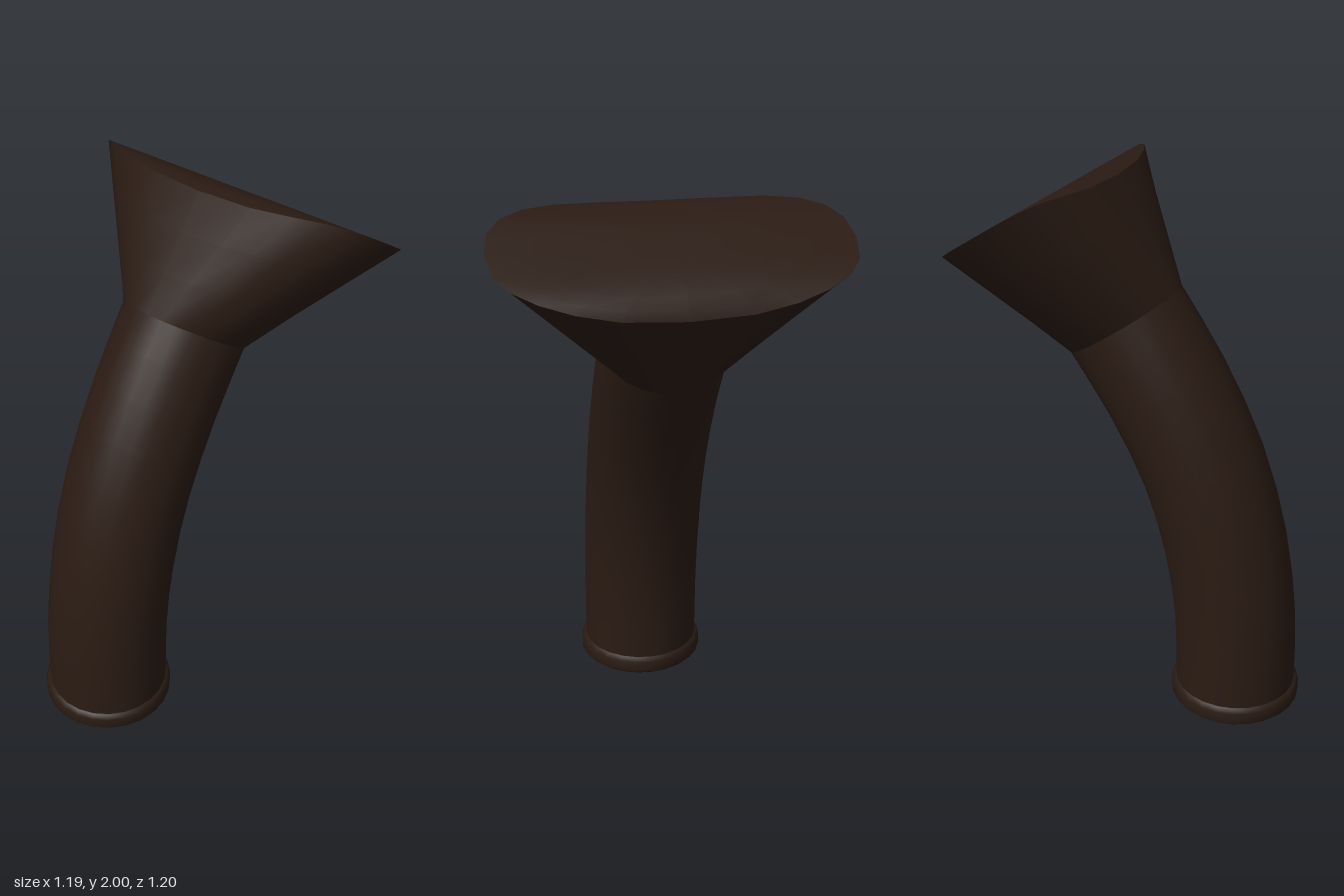
import * as THREE from 'three';

const SIDES = 24;
const Z0 = -0.03; // z of the pipe's axis

// Smooth surface through closed rings of points, listed from bottom to top
function loft(rings) {
  const pos = rings.flat().flatMap((p) => [p.x, p.y, p.z]);
  const index = [];
  for (let i = 0; i < rings.length - 1; i++) {
    for (let j = 0; j < SIDES; j++) {
      const k = (j + 1) % SIDES;
      const a = i * SIDES + j, b = i * SIDES + k;
      const c = a + SIDES, d = b + SIDES;
      index.push(a, c, b, b, c, d);
    }
  }
  const g = new THREE.BufferGeometry();
  g.setAttribute('position', new THREE.Float32BufferAttribute(pos, 3));
  g.setIndex(index);
  g.computeVertexNormals();
  return g;
}

const makeRing = (f) => Array.from({ length: SIDES }, (_, j) => f((j / SIDES) * Math.PI * 2));

// Rim of the slanted mouth: a wide rounded oval whose long edges roll down slightly
function mouthRing(scale) {
  const squash = (v) => Math.sign(v) * Math.pow(Math.abs(v), 2 / 2.6);
  return makeRing((t) => {
    const u = 0.27 * squash(Math.cos(t)) * scale;
    const n = 0.055 * (1 - Math.pow(Math.abs(u) / 0.27, 6));
    return new THREE.Vector3(
      0.36 + u * 0.854 + n * 0.52,
      1.85 - u * 0.52 + n * 0.854,
      0.6 * squash(Math.sin(t)) * scale,
    );
  });
}

export function createModel() {
  const group = new THREE.Group();
  const material = new THREE.MeshStandardMaterial({ color: 0x2a1b13, side: THREE.DoubleSide });
  const add = (name, geometry) => {
    const mesh = new THREE.Mesh(geometry, material);
    mesh.name = name;
    group.add(mesh);
    return mesh;
  };

  // Curved pipe leaning towards +x
  const path = new THREE.CatmullRomCurve3([
    [-0.35, 0.03], [-0.342, 0.34], [-0.295, 0.66], [-0.205, 0.96], [-0.06, 1.25], [0.093, 1.487],
  ].map(([x, y]) => new THREE.Vector3(x, y, Z0)));
  const pipeRings = [];
  for (let i = 0; i <= 10; i++) {
    const p = path.getPoint(i / 10), d = path.getTangent(i / 10);
    pipeRings.push(makeRing((t) => new THREE.Vector3(
      p.x + d.y * 0.23 * Math.cos(t),
      p.y - d.x * 0.23 * Math.cos(t),
      p.z + 0.23 * Math.sin(t),
    )));
  }
  add('curvedPipe', loft(pipeRings));

  // Funnel widening from the pipe's end to the mouth
  const end = pipeRings[pipeRings.length - 1], rim = mouthRing(1);
  const flareRings = [0, 0.33, 0.67, 1].map((s) => end.map((p, j) => p.clone().lerp(rim[j], s)));
  add('flare', loft(flareRings));

  // Closed face of the mouth
  add('mouthFace', loft([1, 0.9, 0.75, 0.5, 0.25, 0].map(mouthRing)));

  // Collar around the foot, closed underneath
  const profile = [[0, 0], [0.235, 0], [0.235, 0], [0.247, 0.012], [0.247, 0.055], [0.235, 0.07], [0.22, 0.075]];
  const collar = add('baseCollar', new THREE.LatheGeometry(profile.map(([r, y]) => new THREE.Vector2(r, y)), SIDES));
  collar.position.set(-0.35, 0, Z0);

  return group;
}
